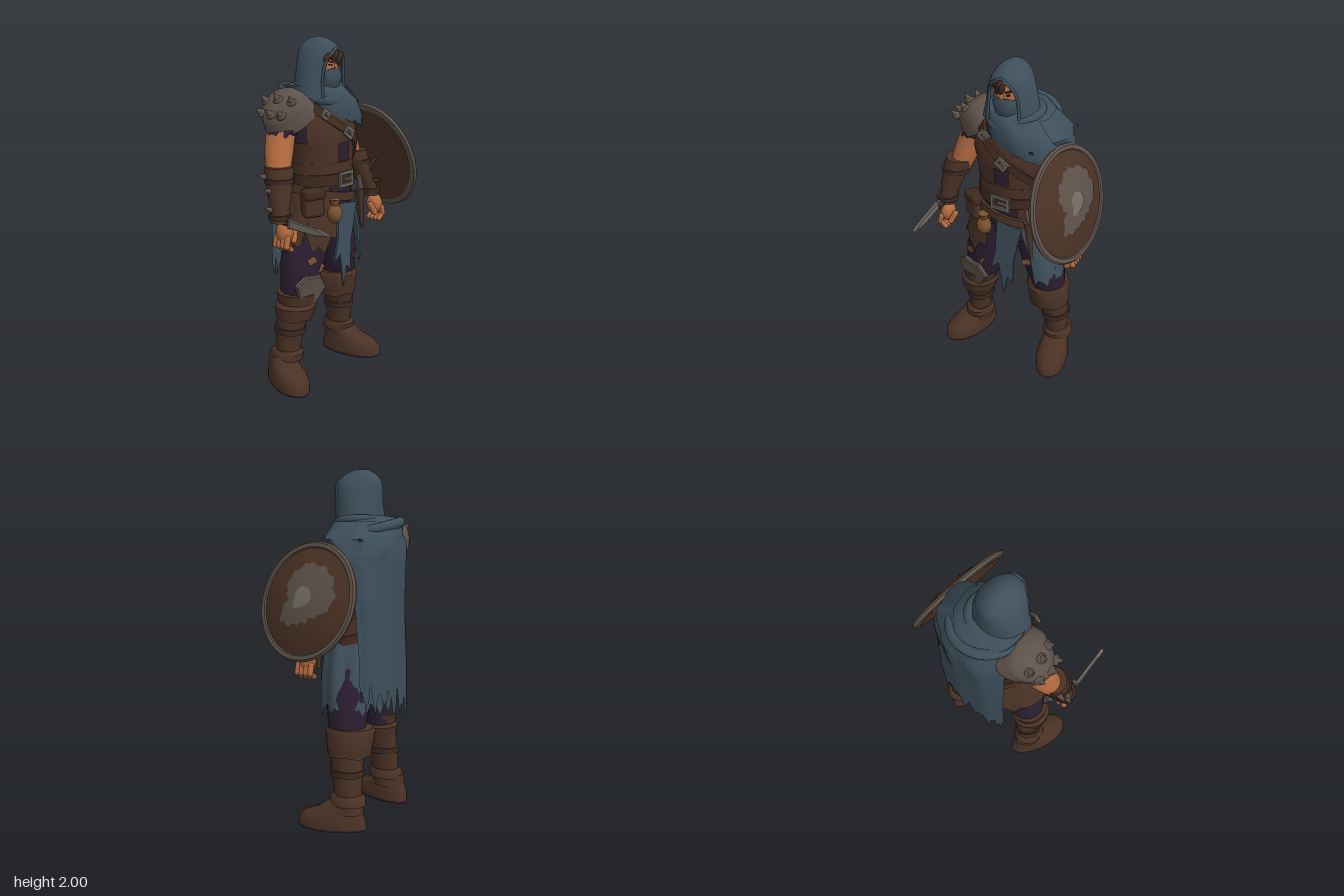
import * as THREE from 'three';
import { toCreasedNormals } from 'three/addons/utils/BufferGeometryUtils.js';
import { RoundedBoxGeometry } from 'three/addons/geometries/RoundedBoxGeometry.js';

const flat = (name, color) => Object.assign(
  new THREE.MeshStandardMaterial({ color, side: THREE.DoubleSide }), { name });
const M = {
  cloth: flat('slate cloth', 0x3e4f5b), leather: flat('brown leather', 0x4a3225),
  dark: flat('dark leather', 0x3f2a20), shirt: flat('purple cloth', 0x2c1f33),
  skin: flat('skin', 0xb56c40), iron: flat('iron', 0x5e524a),
  steel: flat('steel', 0x756d66), tan: flat('tan leather', 0x7c5230),
};
const D = Math.PI / 180, { lerp, clamp } = THREE.MathUtils;
let seed = 7;
const rnd = () => (seed = (seed * 16807) % 2147483647) / 2147483647;

function add(parent, name, geo, mat, pos = [0, 0, 0], rot = [0, 0, 0]) {
  const m = new THREE.Mesh(geo, mat);
  m.name = name;
  m.position.set(...pos);
  m.rotation.set(...rot);
  parent.add(m);
  return m;
}

// Grid of points p(column, row), optionally closed around and capped
function sheet(nu, nv, p, closed = false, caps = false) {
  const pos = [], idx = [], w = closed ? nu : nu + 1;
  for (let i = 0; i <= nv; i++) for (let j = 0; j < w; j++) pos.push(...p(j, i));
  for (let i = 0; i < nv; i++) for (let j = 0; j < nu; j++) {
    const k = (j + 1) % w, a = i * w + j, b = i * w + k;
    idx.push(a, b, b + w, a, b + w, a + w);
  }
  if (caps) for (const i of [0, nv]) {
    const c = pos.length / 3, mid = [0, 0, 0];
    for (let j = 0; j < w; j++) for (let k = 0; k < 3; k++) mid[k] += pos[(i * w + j) * 3 + k] / w;
    pos.push(...mid);
    for (let j = 0; j < w; j++) {
      const a = i * w + j, b = i * w + (j + 1) % w;
      i ? idx.push(c, a, b) : idx.push(c, b, a);
    }
  }
  const g = new THREE.BufferGeometry();
  g.setAttribute('position', new THREE.Float32BufferAttribute(pos, 3));
  g.setIndex(idx);
  return toCreasedNormals(g, 0.8);
}

// Rings from bottom to top: [x, y, z, rx, rz, startDeg, endDeg]; 0 deg is the front, 90 the left
function loft(rings, { seg = 24, jag = 0, fold = 0, egg = 0, tiltX = 0 } = {}) {
  const open = rings[0].length > 5;
  const rag = Array.from({ length: seg + 1 }, (_, j) => jag * (0.7 * Math.sin(j * 1.15) + (j % 2 ? 0.35 : -0.35) + rnd() - 0.5));
  return sheet(seg, rings.length - 1, (j, i) => {
    const [x, y, z, rx, rz, s = 0, e = 360] = rings[i];
    const a = lerp(s, e, j / seg) * D, f = 1 + fold * Math.sin(a * 9 + i * 0.4), low = 1 - i / (rings.length - 1);
    return [x + rx * f * (1 + egg * Math.cos(a)) * Math.sin(a),
      y + (i ? 0 : rag[j]) + low * tiltX * Math.sin(a), z + rz * f * Math.cos(a)];
  }, !open, !open);
}

const BODY = [[0, .93, -.07, .17, .14], [0, 1.08, -.07, .2, .16], [0, 1.22, -.07, .185, .155], [0, 1.35, -.07, .205, .16],
  [0, 1.48, -.07, .235, .165], [0, 1.58, -.08, .22, .145], [0, 1.64, -.08, .19, .13], [0, 1.72, -.07, .08, .08]];
function bodyPoint(deg, y, off) {
  let i = 0;
  while (i < BODY.length - 2 && BODY[i + 1][1] < y) i++;
  const t = (y - BODY[i][1]) / (BODY[i + 1][1] - BODY[i][1]);
  const [, , z, rx, rz] = BODY[i].map((v, k) => lerp(v, BODY[i + 1][k], t));
  return [(rx + off) * Math.sin(deg * D), y, z + (rz + off) * Math.cos(deg * D)];
}
// Strap wrapped round the body between two angles and heights
const band = (a0, a1, y0, y1, h, off) => sheet(36, 3, (j, i) => bodyPoint(lerp(a0, a1, j / 36),
  lerp(y0, y1, j / 36) + (i < 2 ? -h : h) / 2, i % 3 ? off : off - .02));

function plate(points, depth, bevel = 0) {
  const s = new THREE.Shape(points.map(p => new THREE.Vector2(...p)));
  return new THREE.ExtrudeGeometry(s, { depth, bevelEnabled: bevel > 0, bevelSize: bevel, bevelThickness: bevel, bevelSegments: 1 });
}
function buckle(parent, w, h, pos, tilt = 0) {
  const rect = (C, x, y) => new C([[-x, -y], [x, -y], [x, y], [-x, y]].map(p => new THREE.Vector2(...p)));
  const s = rect(THREE.Shape, w / 2, h / 2);
  s.holes.push(rect(THREE.Path, w / 2 - .014, h / 2 - .014));
  const o = { depth: .01, bevelEnabled: true, bevelSize: .003, bevelThickness: .003, bevelSegments: 1 };
  add(parent, 'buckle', new THREE.ExtrudeGeometry(s, o), M.steel, pos, [0, 0, tilt]);
  add(parent, 'bucklePin', new THREE.BoxGeometry(w / 2, .01, .012), M.steel, [pos[0] + w / 8, pos[1], pos[2] + .008], [0, 0, tilt]);
}
function spike(parent, pos, dir, r, h) {
  const d = new THREE.Vector3(...dir).normalize();
  const m = add(parent, 'spike', new THREE.ConeGeometry(r, h, 10).translate(0, h / 2, 0), M.iron, pos);
  m.quaternion.setFromUnitVectors(new THREE.Vector3(0, 1, 0), d);
}
function ball(parent, name, mat, pos, scale, rot) {
  add(parent, name, new THREE.SphereGeometry(1, 20, 14), mat, pos, rot).scale.set(...scale);
}

function buildHead(g) {
  ball(g, 'face', M.skin, [-.015, 1.825, -.04], [.086, .115, .1]);
  add(g, 'mask', loft([[-.015, 1.68, -.04, .06, .07, -80, 80], [-.015, 1.73, -.04, .078, .1, -80, 80],
    [-.015, 1.78, -.04, .088, .118, -75, 75], [-.015, 1.815, -.04, .086, .112, -65, 65], [-.015, 1.835, -.04, .08, .11, -18, 18]], { seg: 16 }), M.cloth);
  add(g, 'nose', new THREE.ConeGeometry(.016, .06, 6), M.skin, [-.015, 1.858, .055]);
  for (const s of [-1, 1]) {
    add(g, 'eye', new THREE.BoxGeometry(.024, .008, .008), M.shirt, [-.015 + s * .036, 1.85, .051], [0, s * .4, s * .15]);
    add(g, 'brow', new THREE.BoxGeometry(.04, .009, .01), M.dark, [-.015 + s * .036, 1.868, .047], [0, s * .4, s * .3]);
  }
  for (let i = 0; i < 4; i++)
    ball(g, 'hairLock', M.dark, [-.075 + i * .023, 1.897 + .012 * Math.sin(i * 1.3), .045 + .008 * i], [.015, .035, .02], [.2, 0, -.7 + i * .1]);
  // Hood with a peaked face opening and a hem
  const rings = [[1.67, -.06, .165, .13, 36], [1.76, -.065, .148, .13, 38], [1.84, -.06, .132, .13, 38], [1.89, -.058, .116, .135, 33],
    [1.925, -.058, .099, .132, 18], [1.945, -.06, .085, .12, 0], [1.975, -.065, .06, .085, 0], [1.993, -.07, .032, .045, 0], [2, -.07, .001, .001, 0]]
    .map(([y, z, rx, rz, o]) => [-.015, y, z, rx, rz, o, 360 - o]);
  add(g, 'hood', loft(rings, { seg: 36 }), M.cloth);
  const edge = s => rings.slice(0, 5).map(([x, y, z, rx, rz, o]) => new THREE.Vector3(x + s * rx * Math.sin(o * D), y, z + rz * Math.cos(o * D)));
  const hem = new THREE.CatmullRomCurve3([...edge(-1), new THREE.Vector3(-.015, 1.943, .065), ...edge(1).reverse()]);
  add(g, 'hoodHem', new THREE.TubeGeometry(hem, 40, .008, 8), M.cloth);
}

function buildBody(g) {
  add(g, 'shirt', loft(BODY), M.shirt);
  const vest = (ys, a, e) => ys.map(y => { const p = bodyPoint(90, y, .012); return [0, y, -.07, p[0], bodyPoint(0, y, .012)[2] + .07, a, e]; });
  add(g, 'chestLeather', loft(vest([1.42, 1.48, 1.54, 1.585], -62, 230)), M.leather);
  add(g, 'vest', loft(vest([1.24, 1.3, 1.36, 1.43], 12, 350)), M.leather);
  add(g, 'corset', band(0, 360, 1.24, 1.24, .14, .014), M.leather);
  add(g, 'hipWrap', band(28, 332, 1.11, 1.11, .14, .012), M.leather);
  add(g, 'belt', band(0, 360, 1.215, 1.215, .065, .026), M.dark);
  add(g, 'hipBeltFront', band(-90, 90, 1.17, 1.05, .05, .03), M.leather);
  add(g, 'hipBeltBack', band(90, 270, 1.05, 1.17, .05, .03), M.leather);
  add(g, 'chestStrap', band(-48, 75, 1.63, 1.29, .055, .028), M.dark);
  buckle(g, .115, .085, [.005, 1.212, .112]);
  buckle(g, .06, .05, [-.12, 1.585, .066], -.6);
  buckle(g, .07, .055, [.02, 1.475, .12], -.6);
  // Pouches, sheath and ragged hip leather
  add(g, 'pouch', new RoundedBoxGeometry(.12, .14, .08, 2, .02), M.leather, [-.2, 1.09, .04], [0, -.5, .05]);
  add(g, 'pouchFlap', new RoundedBoxGeometry(.13, .06, .09, 2, .02), M.dark, [-.2, 1.15, .045], [0, -.5, .05]);
  ball(g, 'tanPouch', M.tan, [-.1, 1.03, .12], [.045, .055, .042]);
  add(g, 'tanPouchNeck', new THREE.CylinderGeometry(.034, .018, .045, 10), M.tan, [-.1, 1.09, .12]);
  add(g, 'sheath', new THREE.CylinderGeometry(.026, .01, .24, 8), M.leather, [.18, 1.0, .09], [0, 0, .1]);
  add(g, 'knifeHilt', new THREE.CylinderGeometry(.014, .016, .09, 8), M.iron, [.17, 1.155, .09], [0, 0, .3]);
  add(g, 'hipLeather', loft([[-.035, .86, -.07, .275, .205, 190, 348], [-.025, 1, -.07, .245, .195, 190, 348], [0, 1.16, -.07, .205, .17, 190, 348]],
    { seg: 18, jag: .05, fold: .02 }), M.leather);
}

function buildCloth(g) {
  add(g, 'cowl', loft([[.075, 1.525, -.12, .25, .215], [.075, 1.58, -.12, .25, .225], [.045, 1.66, -.12, .22, .215],
    [0, 1.72, -.12, .175, .185], [-.015, 1.74, -.09, .13, .13]], { seg: 40, jag: .015, fold: .012, tiltX: -.065 }), M.cloth);
  [[.14, .034, 1.665, .12, -.1], [.125, .03, 1.7, .06, .12], [.185, .03, 1.665, .18, -.14]].forEach(([r, t, y, rx, rz], i) =>
    add(g, 'scarfFold', new THREE.TorusGeometry(r, t, 10, 36).rotateX(Math.PI / 2), M.cloth, [i * .01, y, -.085 - (i > 1 ? .045 : 0)], [rx, 0, rz]));
  // Dark worn spots on the cowl
  for (const [a, e, y, h] of [[58, 70, 1.545, .03], [20, 28, 1.56, .02], [118, 126, 1.6, .02], [205, 214, 1.55, .025]])
    add(g, 'wornSpot', loft([[.075, y, -.12, .257, .229, a + 3, e], [.075, y + h, -.12, .257, .229, a, e - 2]], { seg: 4, jag: .006 }), M.shirt);
  // Cape hangs flat behind the back
  add(g, 'cape', loft([[.03, .69, -.225, .27, .105, 100, 240], [.035, .93, -.22, .275, .11, 100, 238], [.04, 1.2, -.2, .27, .125, 98, 238],
    [.05, 1.45, -.15, .275, .19, 85, 238], [.04, 1.6, -.11, .265, .24, 60, 240], [.02, 1.71, -.1, .18, .19, 60, 250]],
  { seg: 40, jag: .07, fold: .025, tiltX: .08 }), M.cloth);
  add(g, 'skirt', loft([[.06, .67, -.09, .25, .185, 36, 215], [.04, .85, -.08, .248, .185, 34, 215], [.01, 1, -.07, .225, .18, 32, 215],
    [0, 1.06, -.07, .212, .172, 30, 215]], { seg: 36, jag: .032, fold: .03 }), M.cloth);
  add(g, 'frontTail', plate([[-.03, 1.07], [-.04, .86], [-.07, .72], [-.02, .76], [.015, .55], [.04, .68], [.075, .64], [.08, .82], [.13, 1.05]], .012),
    M.cloth, [0, 0, .085]);
}

function buildArm(g, s) {
  // The left elbow tucks in behind the shield
  const tuck = y => s > 0 ? -.068 * clamp(Math.min((y - .95) / .25, (1.7 - y) / .3), 0, 1) : 0;
  const m = rings => rings.map(([x, y, ...r]) => [x * s + tuck(y), y, ...r]);
  const arm = new THREE.Group();
  arm.name = s > 0 ? 'leftArm' : 'rightArm';
  g.add(arm);
  add(arm, 'upperArm', loft(m([[.365, 1.24, -.06, .06, .06], [.345, 1.31, -.08, .072, .072], [.315, 1.4, -.1, .08, .082],
    [.29, 1.48, -.11, .076, .085], [.26, 1.56, -.11, .065, .08]])), M.skin);
  add(arm, 'sleeve', loft(m([[.285, 1.48, -.11, .08, .092], [.255, 1.55, -.11, .075, .095], [.2, 1.61, -.1, .06, .08]]), { jag: .015 }), M.shirt);
  add(arm, 'bracer', loft(m([[.42, 1.03, .0, .055, .055], [.412, 1.1, -.01, .052, .055], [.39, 1.2, -.03, .07, .07],
    [.37, 1.28, -.05, .08, .078], [.362, 1.32, -.06, .08, .078]])), M.leather);
  for (const [y, x, z, r] of [[1.06, .42, 0, .063], [1.25, .379, -.043, .083]])
    add(arm, 'bracerStrap', loft(m([[x, y - .013, z, r, r], [x, y + .013, z, r, r]])), M.dark);
  if (s < 0) for (const [x, y, z] of [[-.44, 1.27, -.09], [-.45, 1.2, -.04], [-.455, 1.1, -.03]]) spike(arm, [x, y, z], [-1, .3, -.3], .018, .05);
  // Hand with curled fingers
  ball(arm, 'palm', M.skin, [.41 * s, .97, .02], [.045, .065, .05]);
  for (let i = 0; i < 4; i++) {
    add(arm, 'finger', new THREE.CapsuleGeometry(.017, .045, 4, 8), M.skin, [.436 * s, .925, -.018 + i * .027], [0, 0, .25 * s]);
    add(arm, 'fingerTip', new THREE.CapsuleGeometry(.014, .03, 4, 8), M.skin, [.415 * s, .888, -.018 + i * .027], [0, 0, -.9 * s]);
  }
  add(arm, 'thumb', new THREE.CapsuleGeometry(.018, .06, 4, 8), M.skin, [.36 * s, .95, .045], [-.3, 0, .4 * s]);
}

function buildPauldron(g) {
  const p = new THREE.Group();
  p.name = 'pauldron';
  p.position.set(-.25, 1.605, -.12);
  p.rotation.z = .66;
  g.add(p);
  // Two overlapping sloped plates, narrower at the outer end
  const shell = (k, y) => sheet(28, 4, (j, i) => {
    const a = j / 28 * Math.PI * 2, [r, h] = [[1.04, -.04], [1, .01], [.82, .062], [.45, .085], [0, .09]][i];
    const x = Math.sin(a) * r * .148 * k;
    return [x, h + y, Math.cos(a) * r * (.135 + x * .25) * k];
  }, true);
  add(p, 'upperPlate', shell(1, 0), M.iron);
  add(p, 'lowerPlate', shell(1.06, -.035), M.iron);
  for (const [x, z, h] of [[-.088, -.06, .06], [-.01, -.075, .072], [-.098, .015, .066], [-.005, .012, .088], [-.088, .075, .055], [.005, .09, .068]]) {
    ball(p, 'stud', M.iron, [x, h, z], [.028, .018, .028]);
    spike(p, [x, h, z], [x * 3, 1, z * 3], .024, .056);
  }
}

function buildShield(g) {
  const s = new THREE.Group();
  s.name = 'shield';
  const n = new THREE.Vector3(.945, .28, .14).normalize();
  const x = new THREE.Vector3(0, 1, 0).addScaledVector(n, -n.y).normalize();
  s.quaternion.setFromRotationMatrix(new THREE.Matrix4().makeBasis(x, n, x.clone().cross(n)));
  s.position.set(.385, 1.285, .038);
  g.add(s);
  const dome = r => .05 * (1 - (r / .31) ** 2);
  const lathe = pts => toCreasedNormals(new THREE.LatheGeometry(pts.map(p => new THREE.Vector2(...p)), 48), .6);
  add(s, 'shieldFace', lathe([.305, .25, .2, .15, .1, .05, 0].map(r => [r, dome(r)])), M.leather);
  add(s, 'shieldBack', lathe([[0, .02], [.15, .008], [.31, -.018]]), M.leather);
  add(s, 'shieldRim', lathe([[.295, -.02], [.325, -.016], [.332, 0], [.322, .012], [.3, .012], [.294, .004]]), M.iron);
  // Worn bare patch on the face with a brighter middle
  const reach = [.2, .22, .21, .13, .13, .18, .09, .16], N = 48;
  for (const [name, mat, k, lift] of [['wornPatch', M.iron, 1, .004], ['brightPatch', M.steel, .35, .008]])
    add(s, name, sheet(N, 5, (j, i) => {
      const t = j / N * 8, o = Math.floor(t) % 8;
      const r = k * (lerp(reach[o], reach[(o + 1) % 8], t % 1) + .012 * Math.sin(j * 1.9)) * i / 5, a = j / N * Math.PI * 2;
      return [r * Math.cos(a), dome(r) + lift, r * Math.sin(a)];
    }, true), mat);
  add(s, 'shieldGrip', new THREE.TorusGeometry(.07, .012, 6, 16, Math.PI), M.dark, [-.1, -.005, 0], [Math.PI, 0, 0]);
}

function buildLeg(g, s, z, footX, turn) {
  const leg = new THREE.Group();
  leg.name = s > 0 ? 'leftLeg' : 'rightLeg';
  g.add(leg);
  const tube = (name, mat, rings, o) => add(leg, name, loft(rings.map(([x, y, dz, a, b]) => [x * s, y, z + dz, a, b]), o), mat);
  tube('trouserLeg', M.shirt, [[.225, .48, 0, .085, .095], [.208, .6, .01, .105, .11], [.175, .75, .015, .133, .128], [.13, .9, .02, .128, .135], [.09, 1.02, .02, .1, .13]]);
  tube('bootShaft', M.leather, [[.272, .1, -.04, .074, .085], [.268, .2, -.03, .064, .08], [.256, .34, -.02, .078, .09], [.235, .46, 0, .09, .105]]);
  tube('bootCuff', M.leather, s > 0 ? [[.215, .42, -.01, .122, .125], [.212, .46, -.01, .122, .13], [.205, .555, -.01, .132, .145], [.205, .575, -.01, .12, .13]]
    : [[.25, .41, .01, .105, .11], [.24, .48, .01, .118, .125], [.235, .5, .01, .1, .11], [.228, .56, .01, .112, .12]], { jag: .006 });
  tube('shinStrap', M.dark, [[.259, .31, -.02, .085, .097], [.257, .345, -.02, .087, .099]]);
  tube('ankleCuff', M.leather, [[.274, .15, -.035, .09, .105], [.27, .19, -.03, .086, .104], [.268, .205, -.03, .074, .088]]);
  const f = new THREE.Group();
  f.name = 'foot';
  f.position.set(footX, 0, -.06);
  f.rotation.y = turn * s;
  leg.add(f);
  add(f, 'sole', loft([[0, 0, 0, .094, .198], [0, .012, 0, .096, .202]], { egg: .12 }), M.shirt);
  add(f, 'boot', loft([[0, .012, 0, .096, .202], [0, .055, 0, .096, .197], [0, .088, -.01, .09, .172], [0, .115, -.045, .082, .125], [0, .17, -.08, .072, .085]], { egg: .12 }), M.leather);
}

export function createModel() {
  const g = new THREE.Group();
  g.name = 'hoodedFighter';
  buildBody(g);
  buildHead(g);
  buildCloth(g);
  for (const s of [-1, 1]) buildArm(g, s);
  buildPauldron(g);
  buildShield(g);
  buildLeg(g, 1, -.12, .288, .22);
  buildLeg(g, -1, -.07, -.318, .36);
  // Knee plate, trouser patches and dagger
  add(g, 'kneePlate', plate([[-.1, .05], [-.05, .095], [.05, .09], [.1, .02], [.06, -.05], [.03, -.1], [-.06, -.06]], .018, .008), M.iron, [-.225, .58, .03], [.2, -.2, 0]);
  for (const [x, y, z, t] of [[-.235, .77, .066, .4], [-.16, .71, .06, 1], [.13, .78, .03, .2], [.23, .68, .0, .9]])
    add(g, 'patch', new THREE.BoxGeometry(.05, .04, .009), M.tan, [x, y, z], [0, x * 2, t]);
  add(g, 'daggerHilt', new THREE.CylinderGeometry(.014, .014, .13, 8), M.dark, [-.425, 1.03, .03], [Math.PI / 2, 0, 0]);
  add(g, 'daggerGuard', new THREE.BoxGeometry(.03, .06, .018), M.iron, [-.43, 1.04, .085]);
  add(g, 'daggerBlade', plate([[0, .018], [.17, .008], [.262, .02], [.18, .038], [0, .058]], .012, .005), M.steel, [-.434, 1, .09], [0, -Math.PI / 2 + .05, 0]);
  return g;
}
